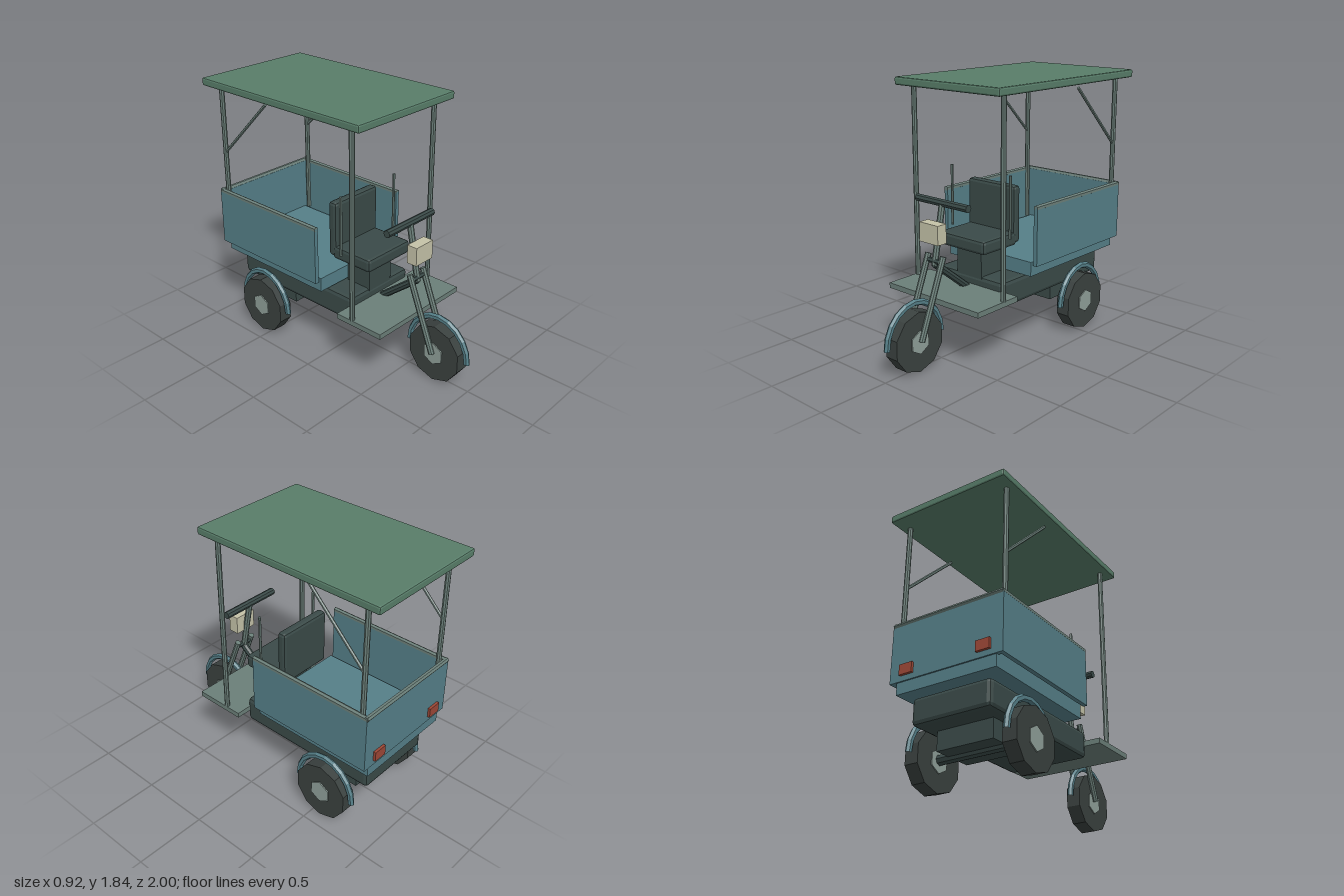
import * as THREE from 'three';
import { RoundedBoxGeometry } from 'three/addons/geometries/RoundedBoxGeometry.js';

const mat = (color) => new THREE.MeshStandardMaterial({ color, flatShading: true });

export function createModel() {
  const root = new THREE.Group();
  root.name = 'cargoTricycle';
  const green = mat(0x587d69), blue = mat(0x557f88), tube = mat(0x6b7f79), dark = mat(0x3a4a48);
  const rubber = mat(0x3a413f), hubGrey = mat(0x8f9f99), cream = mat(0xc4c2a8), red = mat(0x9c4736);

  const add = (name, geometry, material, parent = root) => {
    const mesh = new THREE.Mesh(geometry, material);
    mesh.name = name;
    parent.add(mesh);
    return mesh;
  };

  // Box given by its extents on each axis, chamfered when bevel > 0
  const box = (name, material, [x0, x1], [y0, y1], [z0, z1], bevel = 0) => {
    const size = [x1 - x0, y1 - y0, z1 - z0];
    const geometry = bevel ? new RoundedBoxGeometry(...size, 1, bevel) : new THREE.BoxGeometry(...size);
    const mesh = add(name, geometry, material);
    mesh.position.set((x0 + x1) / 2, (y0 + y1) / 2, (z0 + z1) / 2);
    return mesh;
  };

  // Straight round bar between two points
  const bar = (name, material, from, to, radius, sides = 8) => {
    const a = new THREE.Vector3(...from), b = new THREE.Vector3(...to);
    const dir = b.clone().sub(a);
    const mesh = add(name, new THREE.CylinderGeometry(radius, radius, dir.length(), sides), material);
    mesh.position.copy(a).add(b).multiplyScalar(0.5);
    mesh.quaternion.setFromUnitVectors(new THREE.Vector3(0, 1, 0), dir.normalize());
    return mesh;
  };

  // Ten-sided tyre with six-sided hub, under a half-ring fender
  const wheel = (name, x, z, fenderRadius) => {
    const group = new THREE.Group();
    group.name = name;
    group.position.set(x, 0.2, z);
    const disc = (part, radius, width, sides, material) => {
      const geometry = new THREE.CylinderGeometry(radius, radius, width, sides);
      geometry.rotateZ(Math.PI / 2);
      // a flat side rests on the ground
      geometry.rotateX(Math.PI / 2);
      add(part, geometry, material, group);
    };
    disc('tyre', 0.208, 0.1, 10, rubber);
    disc('hub', 0.082, 0.115, 6, hubGrey);
    const fender = add('fender', new THREE.TorusGeometry(fenderRadius, 0.021, 6, 10, Math.PI), blue, group);
    fender.rotation.y = Math.PI / 2;
    fender.scale.y = 0.28 / (fenderRadius + 0.021);
    root.add(group);
  };

  // Roof
  box('roof', green, [-0.46, 0.46], [1.78, 1.835], [-1, 0.44], 0.012);

  // Chassis, drive housing, floorboard
  box('chassis', dark, [-0.295, 0.295], [0.33, 0.515], [-0.86, 0.22], 0.028);
  box('driveHousing', dark, [-0.21, 0.21], [0.2, 0.35], [-0.71, -0.41]);
  box('floorboard', tube, [-0.41, 0.41], [0.413, 0.45], [0.2, 0.58]);
  bar('rearAxle', dark, [-0.4, 0.205, -0.565], [0.4, 0.205, -0.565], 0.036);

  // Cargo tub, open towards the seat
  box('cargoFloor', blue, [-0.375, 0.375], [0.53, 0.63], [-0.92, 0.02]);
  box('tailPanel', blue, [-0.425, 0.425], [0.61, 1.01], [-0.93, -0.9]);
  bar('tailRail', tube, [-0.42, 1.01, -0.92], [0.42, 1.01, -0.92], 0.018, 6);

  // Seat
  box('seatBase', dark, [-0.11, 0.11], [0.5, 0.72], [0.02, 0.22]);
  box('seatCushion', dark, [-0.21, 0.21], [0.705, 0.8], [-0.03, 0.305], 0.022);
  box('seatBackrest', dark, [-0.21, 0.21], [0.72, 1.12], [-0.065, 0.003], 0.022);

  // Steering
  bar('steeringStem', tube, [0, 0.66, 0.548], [0, 1.06, 0.47], 0.022);
  bar('handlebar', dark, [-0.23, 1.063, 0.468], [0.23, 1.063, 0.468], 0.026);
  bar('downTube', dark, [0, 0.67, 0.545], [0, 0.42, 0.23], 0.026);
  bar('forkCrown', dark, [-0.07, 0.69, 0.547], [0.07, 0.69, 0.547], 0.018, 6);
  box('headlight', cream, [-0.083, 0.083], [0.82, 0.95], [0.52, 0.597]);

  // Mirrored parts
  for (const s of [-1, 1]) {
    const side = s > 0 ? 'left' : 'right';
    const x = s * 0.395;
    bar(side + 'FrontPost', tube, [x, 0.44, 0.325], [x, 1.79, 0.325], 0.018);
    bar(side + 'RearPost', tube, [x, 0.63, -0.875], [x, 1.79, -0.875], 0.018);
    bar(side + 'RoofBrace', tube, [x, 1.31, -0.875], [x, 1.75, -0.435], 0.011, 6);
    const panel = [s * 0.41 - 0.015, s * 0.41 + 0.015];
    box(side + 'CargoPanel', blue, panel, [0.61, 1.01], [-0.93, 0.02]);
    bar(side + 'CargoRail', tube, [s * 0.41, 1.01, -0.93], [s * 0.41, 1.01, 0.02], 0.018, 6);
    bar(side + 'SeatRod', tube, [s * 0.265, 0.79, 0.105], [s * 0.265, 1.22, 0.105], 0.01, 6);
    bar(side + 'ForkLeg', tube, [s * 0.068, 0.205, 0.74], [s * 0.068, 0.73, 0.535], 0.021);
    box(side + 'TailLight', red, [s * 0.29 - 0.05, s * 0.29 + 0.05], [0.647, 0.717], [-0.948, -0.925]);
    wheel(side + 'RearWheel', s * 0.36, -0.565, 0.228);
  }
  wheel('frontWheel', 0, 0.74, 0.238);

  return root;
}
